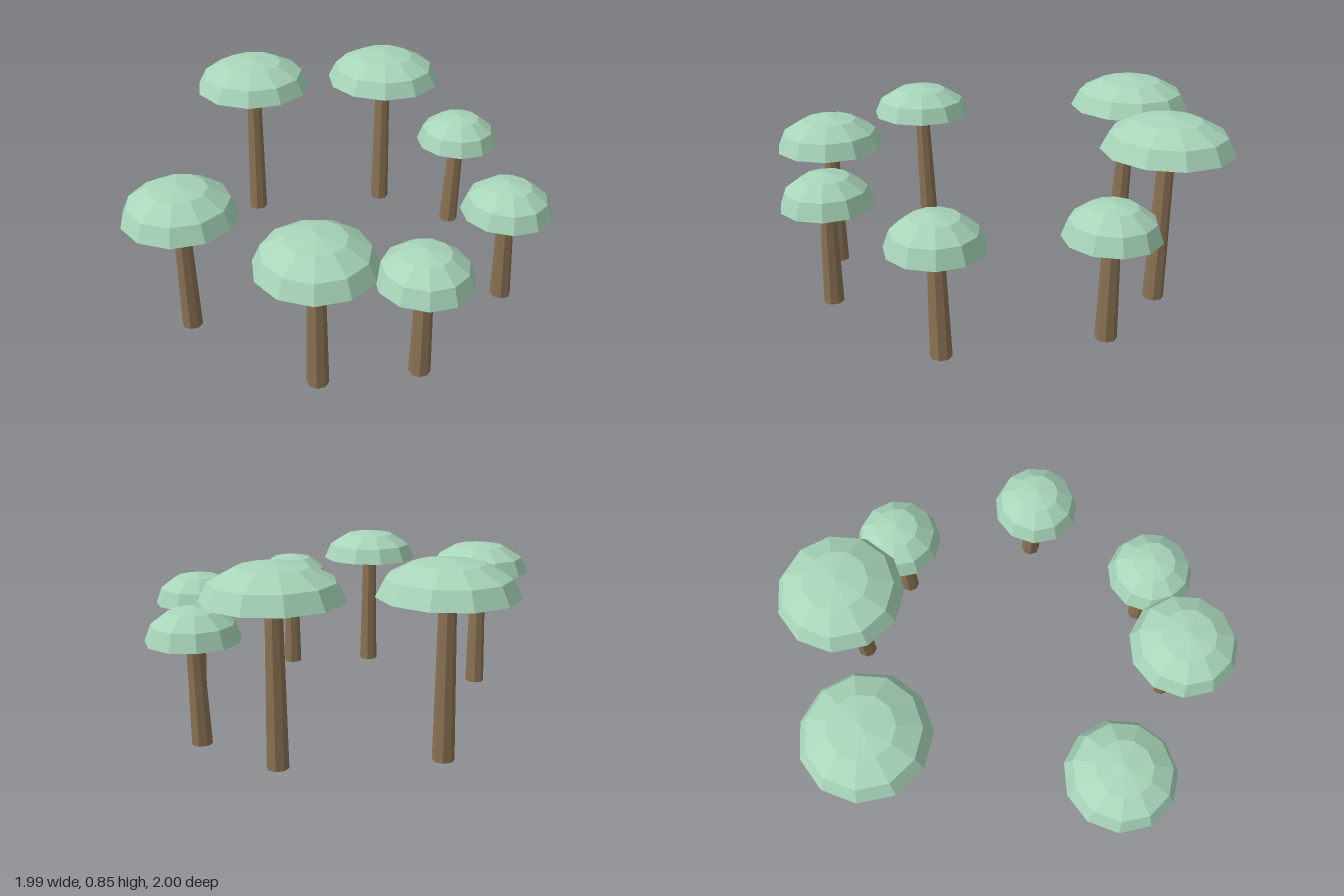
import * as THREE from 'three';

const capMaterial = new THREE.MeshStandardMaterial({ color: 0xa8d5ba, flatShading: true });
capMaterial.name = 'mint cap';
const stemMaterial = new THREE.MeshStandardMaterial({ color: 0x8b7355, flatShading: true });
stemMaterial.name = 'brown stem';

const CAP_HEIGHT = 0.148;

// Low half dome with a flat underside
function makeCap(radius) {
  const profile = [new THREE.Vector2(0, 0)];
  for (let i = 0; i <= 3; i++) {
    const a = (i * Math.PI) / 6;
    profile.push(new THREE.Vector2(i === 3 ? 0 : radius * Math.cos(a), CAP_HEIGHT * Math.sin(a)));
  }
  const cap = new THREE.Mesh(new THREE.LatheGeometry(profile, 11, Math.PI / 2), capMaterial);
  cap.name = 'cap';
  return cap;
}

// Tapered stem whose top is shifted sideways by (dx, dz)
function makeStem(height, dx, dz) {
  const geometry = new THREE.CylinderGeometry(0.035, 0.0465, height, 8);
  geometry.translate(0, height / 2, 0);
  const p = geometry.attributes.position;
  for (let i = 0; i < p.count; i++) {
    const t = p.getY(i) / height;
    p.setX(i, p.getX(i) + dx * t);
    p.setZ(i, p.getZ(i) + dz * t);
  }
  geometry.computeVertexNormals();
  const stem = new THREE.Mesh(geometry, stemMaterial);
  stem.name = 'stem';
  return stem;
}

const SIZES = {
  small: { height: 0.46, radius: 0.202 },
  medium: { height: 0.58, radius: 0.246 },
  large: { height: 0.697, radius: 0.285 },
};

// size, foot x, foot z, cap x, cap z
const MUSHROOMS = [
  ['large', 0.076, -0.698, 0.095, -0.718],
  ['large', 0.654, -0.348, 0.665, -0.362],
  ['medium', -0.747, -0.07, -0.762, -0.055],
  ['medium', -0.557, 0.58, -0.562, 0.58],
  ['small', -0.191, 0.8, -0.19, 0.796],
  ['small', 0.473, 0.674, 0.448, 0.67],
  ['small', 0.774, 0.062, 0.787, 0.067],
];

export function createModel() {
  const model = new THREE.Group();
  model.name = 'mushroomRing';
  for (const [size, footX, footZ, capX, capZ] of MUSHROOMS) {
    const { height, radius } = SIZES[size];
    const mushroom = new THREE.Group();
    mushroom.name = size + 'Mushroom';
    mushroom.position.set(footX, 0, footZ);
    const cap = makeCap(radius);
    cap.position.set(capX - footX, height, capZ - footZ);
    mushroom.add(makeStem(height + 0.01, capX - footX, capZ - footZ), cap);
    model.add(mushroom);
  }
  return model;
}
